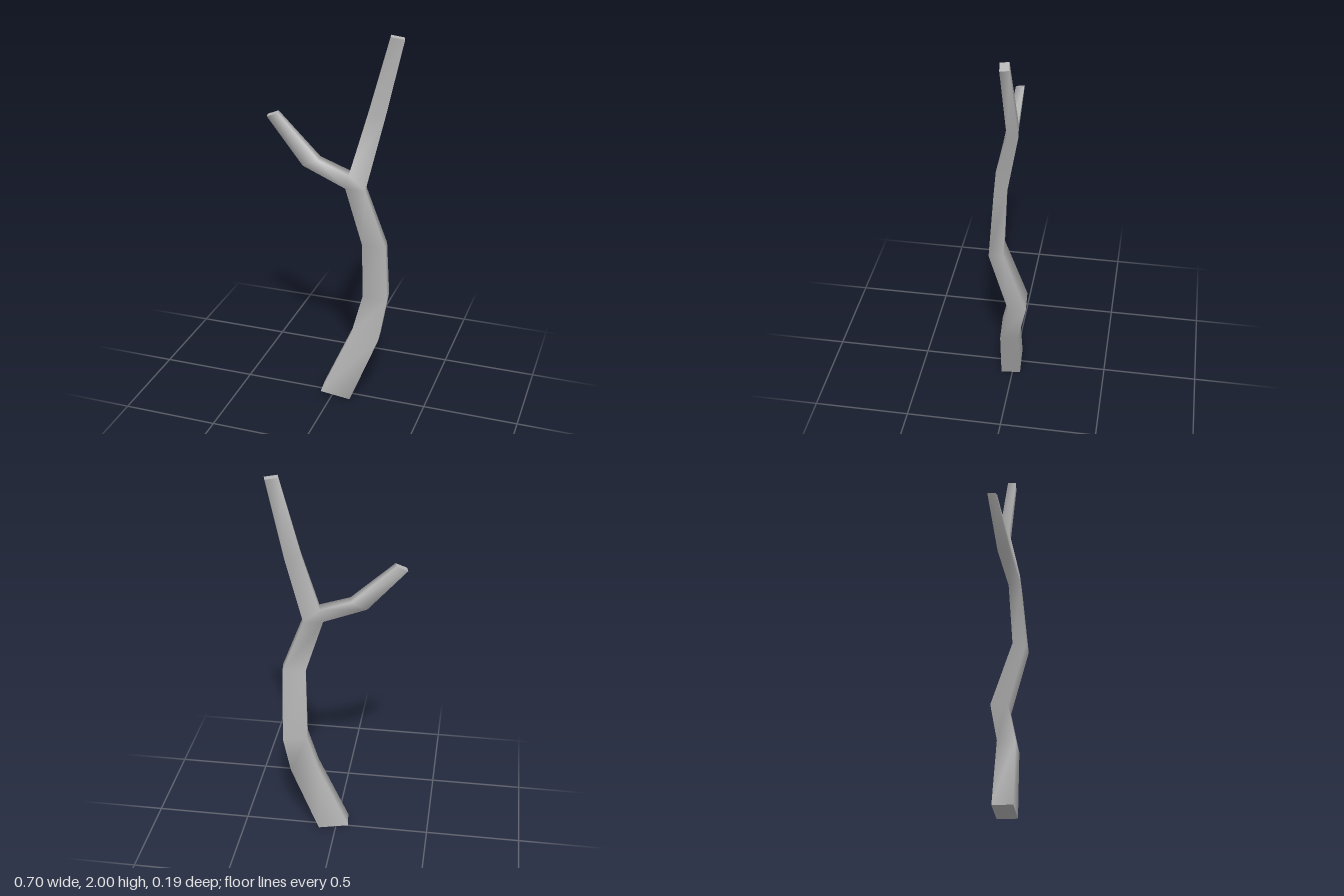
import * as THREE from 'three';

// Four-cornered section, in order front-left, front-right, back-right, back-left,
// turned slightly about y. Takes the outer left and right points and the z range.
function ring(lx, ly, rx, ry, zFront, zBack, sx = 0.012, sz = 0.01) {
  return [
    [lx + sx, ly, zFront],
    [rx, ry, zFront - sz],
    [rx - sx, ry, zBack],
    [lx, ly, zBack + sz],
  ];
}

export function createModel() {
  const group = new THREE.Group();
  const bark = new THREE.MeshStandardMaterial({ color: 0xb8b8b8 });
  bark.name = 'grey bark';

  const positions = [];
  const index = [];
  const addPoint = (p) => positions.push(...p) / 3 - 1;
  const addRing = (r) => r.map(addPoint);

  // Joins consecutive rings with quads and returns the last ring
  const loft = (rings) => {
    for (let i = 0; i < rings.length - 1; i++) {
      const a = rings[i], b = rings[i + 1];
      for (let k = 0; k < 4; k++) {
        const n = (k + 1) % 4;
        index.push(a[k], a[n], b[n], a[k], b[n], b[k]);
      }
    }
    return rings[rings.length - 1];
  };

  // Trunk from the ground to the fork
  const baseRing = ring(-0.07, 0.028, 0.103, 0.003, 0.07, -0.042);
  const trunk = [
    baseRing,
    ring(0.092, 0.4, 0.25, 0.38, 0.05, -0.052),
    ring(0.14, 0.61, 0.28, 0.6, 0.002, -0.097),
    ring(0.163, 0.95, 0.294, 0.945, 0.096, 0.015),
    ring(0.07, 1.24, 0.182, 1.235, 0.087, 0.015),
  ].map(addRing);
  const [fl, fr, br, bl] = loft(trunk);

  // Crotch of the fork, shared by both limbs
  const fu = addPoint([0.097, 1.31, 0.08]);
  const bu = addPoint([0.085, 1.31, 0.014]);
  index.push(fl, fr, fu, br, bl, bu);

  // Main upper limb
  const limbTip = ring(0.27, 2, 0.347, 1.99, 0.025, -0.028);
  loft([[fu, fr, br, bu],
    addRing(ring(0.162, 1.62, 0.257, 1.605, 0.008, -0.054)),
    addRing(limbTip)]);

  // Side branch
  const branchTip = ring(-0.35, 1.555, -0.284, 1.577, 0.045, 0, 0.01, 0.004);
  loft([[fl, fu, bu, bl],
    addRing(ring(-0.153, 1.33, -0.062, 1.365, 0.076, 0.01, 0.01, 0.004)),
    addRing(branchTip)]);

  const geometry = new THREE.BufferGeometry();
  geometry.setAttribute('position', new THREE.Float32BufferAttribute(positions, 3));
  geometry.setIndex(index);
  geometry.computeVertexNormals();
  const wood = new THREE.Mesh(geometry, bark);
  wood.name = 'trunkAndBranches';
  group.add(wood);

  // Flat cut ends, kept apart so their edges stay sharp
  const addCap = (name, corners, faces) => {
    const cap = new THREE.BufferGeometry();
    cap.setAttribute('position', new THREE.Float32BufferAttribute(corners.flat(), 3));
    cap.setIndex(faces);
    cap.computeVertexNormals();
    const mesh = new THREE.Mesh(cap, bark);
    mesh.name = name;
    group.add(mesh);
  };
  const up = [0, 1, 2, 0, 2, 3];
  addCap('limbEnd', limbTip, up);
  addCap('branchEnd', branchTip, up);
  addCap('trunkBase', baseRing, [0, 2, 1, 0, 3, 2]);

  return group;
}
